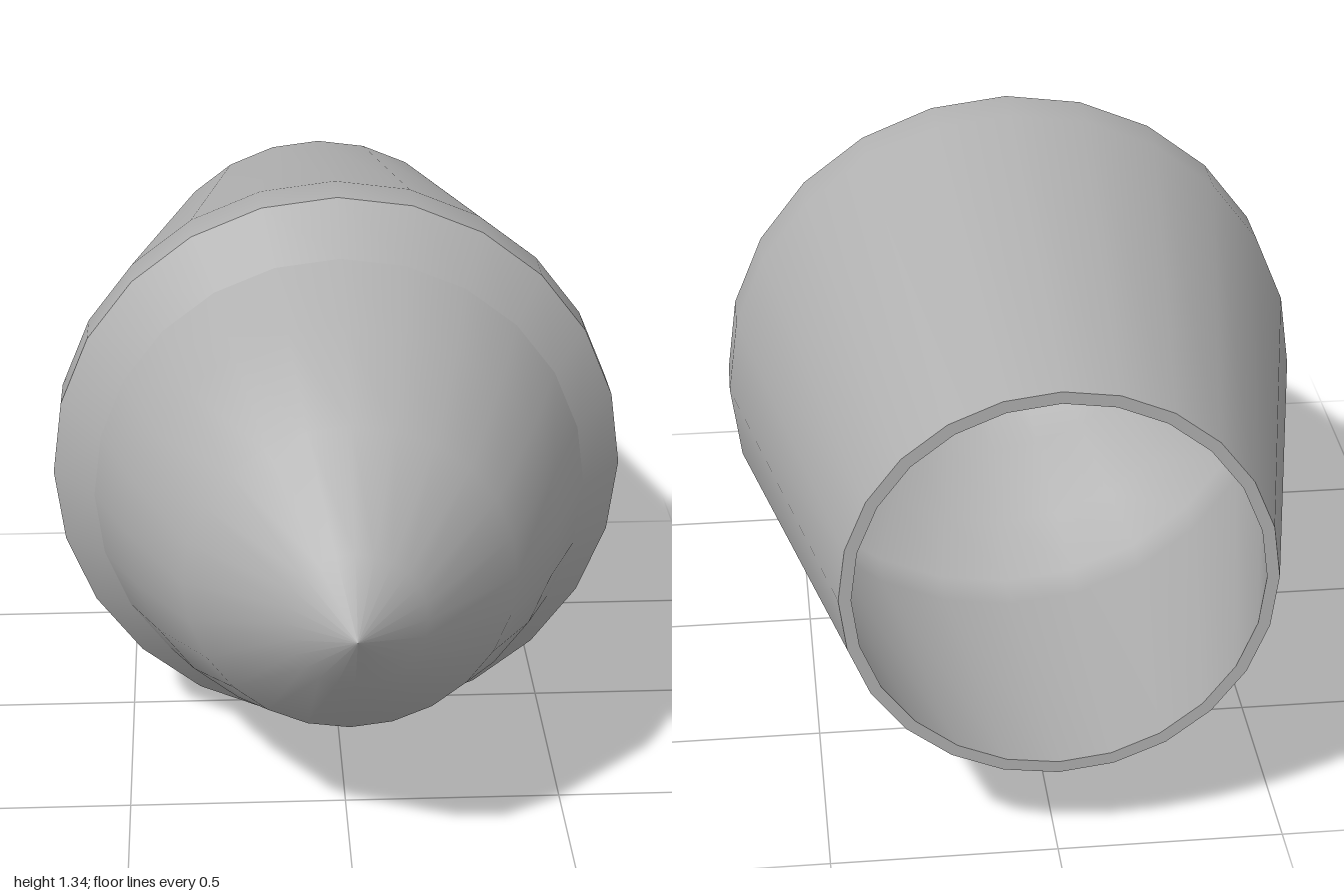
import * as THREE from 'three';

const SIDES = 24;
const AXIS_HEIGHT = 0.67;

export function createModel() {
  const model = new THREE.Group();
  model.name = 'taperedPod';

  const grey = new THREE.MeshStandardMaterial({ color: 0xb0b0b0 });
  grey.name = 'plain grey';

  // Revolves [radius, z] points about the z axis; rising z faces outward
  const revolve = (name, profile) => {
    const points = profile.map(([r, z]) => new THREE.Vector2(r, z));
    const geometry = new THREE.LatheGeometry(points, SIDES);
    geometry.rotateX(Math.PI / 2);
    const mesh = new THREE.Mesh(geometry, grey);
    mesh.name = name;
    mesh.position.y = AXIS_HEIGHT;
    model.add(mesh);
  };

  // Outer skin: long taper and a short straight band
  revolve('outerShell', [[0.465, -1], [0.67, -0.03], [0.67, 0.09]]);

  // Sloped shoulder between shell and nose
  revolve('shoulder', [[0.67, 0.09], [0.57, 0.225]]);

  // Rounded nose running to a point
  revolve('noseCone', [[0.57, 0.225], [0.49, 0.44], [0.365, 0.7], [0.155, 0.9], [0, 1]]);

  // Thin rim around the open rear end
  revolve('rearRim', [[0.438, -1], [0.465, -1]]);

  // Hollow interior, following the outer skin
  revolve('innerLining', [
    [0, 0.96], [0.14, 0.87], [0.34, 0.68], [0.46, 0.43],
    [0.54, 0.21], [0.64, 0.08], [0.64, -0.03], [0.438, -1],
  ]);

  return model;
}
